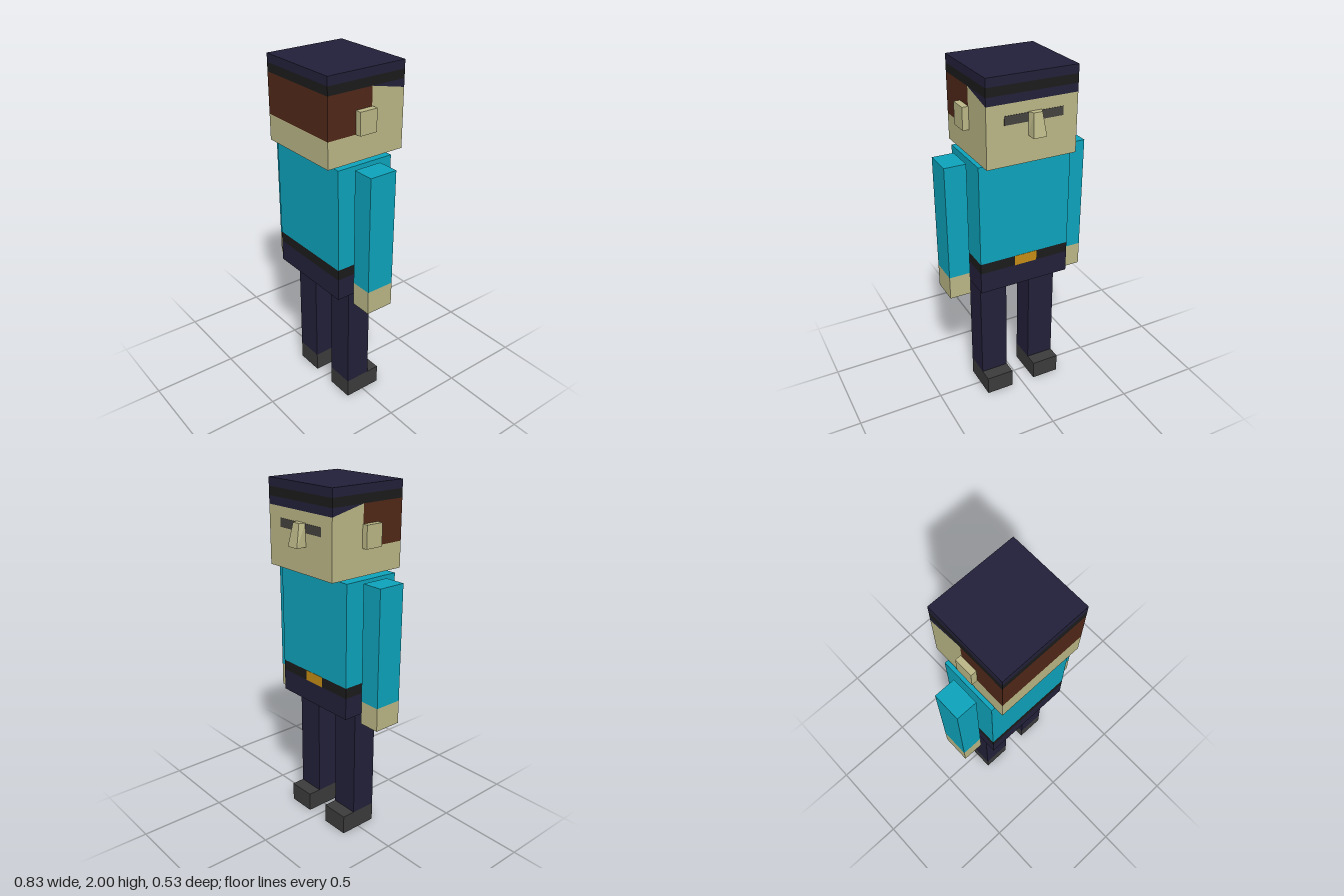
import * as THREE from 'three';

const COLORS = {
  skin: 0xbab686, hair: 0x502818, navy: 0x222039, band: 0x1b1b1b,
  shirt: 0x0da3bb, shoe: 0x3b3b3b, eye: 0x45433f, gold: 0xc48c14,
};
const materials = {};
for (const key in COLORS) {
  materials[key] = new THREE.MeshStandardMaterial({ color: COLORS[key], flatShading: true });
}

function addMesh(parent, name, geometry, color) {
  const mesh = new THREE.Mesh(geometry, materials[color]);
  mesh.name = name;
  parent.add(mesh);
  return mesh;
}

// Box given by its ranges on x, y and z
function addBox(parent, name, color, [x0, x1], [y0, y1], [z0, z1]) {
  const geometry = new THREE.BoxGeometry(x1 - x0, y1 - y0, z1 - z0);
  geometry.translate((x0 + x1) / 2, (y0 + y1) / 2, (z0 + z1) / 2);
  return addMesh(parent, name, geometry, color);
}

// Side profile of [z, y] points, extruded across x
function addProfile(parent, name, color, [x0, x1], points) {
  const shape = new THREE.Shape(points.map(([z, y]) => new THREE.Vector2(-z, y)));
  const geometry = new THREE.ExtrudeGeometry(shape, { depth: x1 - x0, bevelEnabled: false });
  geometry.rotateY(Math.PI / 2);
  geometry.translate(x0, 0, 0);
  return addMesh(parent, name, geometry, color);
}

function addGroup(parent, name) {
  const group = new THREE.Group();
  group.name = name;
  parent.add(group);
  return group;
}

function buildHead(parent) {
  const head = addGroup(parent, 'head');
  const x = [-0.253, 0.257];
  const z = [-0.21, 0.265];
  const hairline = -0.005;

  // Face and jaw in one profile, hair behind, cap on top
  addProfile(head, 'face', 'skin', x, [
    [z[1], 1.535], [z[0], 1.535], [z[0], 1.86], [hairline, 1.905], [hairline, 1.68], [z[1], 1.68],
  ]);
  addBox(head, 'hair', 'hair', x, [1.68, 1.905], [hairline, z[1]]);
  addProfile(head, 'capBrim', 'navy', x, [[hairline, 1.905], [z[0], 1.86], [z[0], 1.905]]);
  addBox(head, 'capBand', 'band', x, [1.905, 1.953], z);
  addBox(head, 'capTop', 'navy', x, [1.953, 2], z);

  // Ears
  addBox(head, 'leftEar', 'skin', [0.257, 0.292], [1.68, 1.803], [-0.01, 0.095]);
  addBox(head, 'rightEar', 'skin', [-0.286, -0.253], [1.68, 1.803], [-0.01, 0.095]);

  // Eyes
  addBox(head, 'leftEye', 'eye', [0.027, 0.16], [1.752, 1.8], [-0.212, -0.21]);
  addBox(head, 'rightEye', 'eye', [-0.17, -0.047], [1.752, 1.8], [-0.212, -0.21]);

  // Nose: a box whose upper outer edge is drawn in and narrowed
  const nose = new THREE.BoxGeometry(0.074, 0.123, 0.058);
  const p = nose.attributes.position;
  for (let i = 0; i < p.count; i++) {
    if (p.getY(i) > 0 && p.getZ(i) < 0) {
      p.setX(i, p.getX(i) * 0.65);
      p.setZ(i, p.getZ(i) + 0.026);
    }
  }
  nose.translate(-0.01, 1.7415, -0.239);
  nose.computeVertexNormals();
  addMesh(head, 'nose', nose, 'skin');
}

function buildTorso(parent) {
  const torso = addGroup(parent, 'torso');
  const x = [-0.272, 0.267];
  const z = [-0.13, 0.21];
  addBox(torso, 'shirt', 'shirt', x, [0.945, 1.52], z);
  addBox(torso, 'belt', 'band', x, [0.885, 0.945], z);
  addBox(torso, 'hips', 'navy', x, [0.76, 0.885], z);
  addBox(torso, 'buckle', 'gold', [-0.075, 0.06], [0.885, 0.945], [-0.132, -0.13]);
}

function buildLimbs(parent) {
  const sides = [
    { side: 'left', arm: [0.292, 0.415], leg: [0.068, 0.232] },
    { side: 'right', arm: [-0.418, -0.295], leg: [-0.245, -0.08] },
  ];
  for (const { side, arm, leg } of sides) {
    const armGroup = addGroup(parent, side + 'Arm');
    addBox(armGroup, 'sleeve', 'shirt', arm, [0.85, 1.51], [-0.037, 0.125]);
    addBox(armGroup, 'hand', 'skin', arm, [0.715, 0.85], [-0.037, 0.125]);

    const legGroup = addGroup(parent, side + 'Leg');
    addBox(legGroup, 'trouser', 'navy', leg, [0.112, 0.752], [-0.037, 0.112]);
    addBox(legGroup, 'shoe', 'shoe', leg, [0, 0.112], [-0.114, 0.112]);
  }
}

export function createModel() {
  const model = new THREE.Group();
  model.name = 'blockFigure';
  buildHead(model);
  buildTorso(model);
  buildLimbs(model);
  return model;
}
